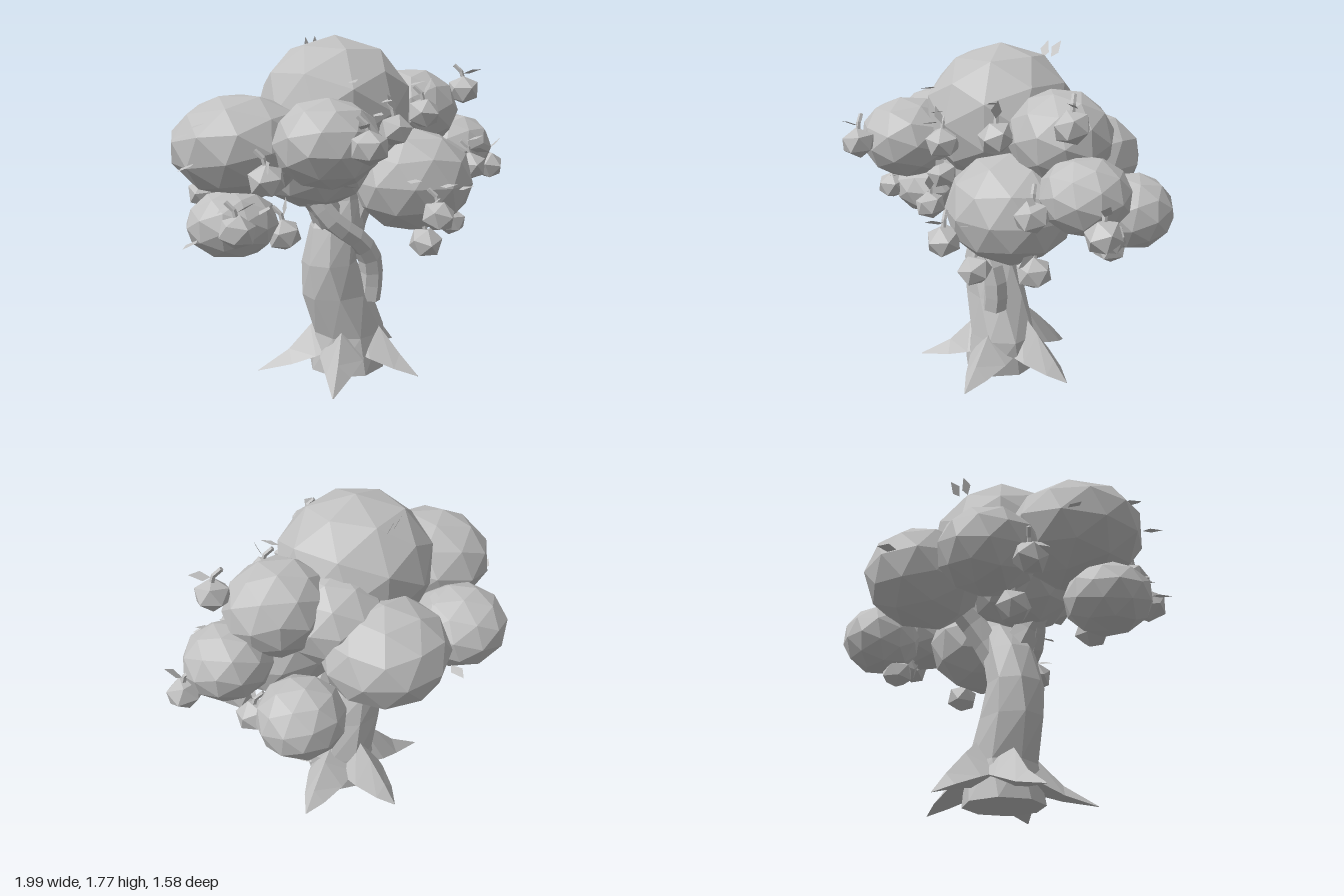
import * as THREE from 'three';

const clay = new THREE.MeshStandardMaterial({ color: 0xc0c0c0, flatShading: true });
clay.name = 'grey';
const clayLeaf = clay.clone();
clayLeaf.name = 'leafGrey';
clayLeaf.side = THREE.DoubleSide;

const V = (x, y, z) => new THREE.Vector3(x, y, z);

function add(parent, name, geometry, material = clay) {
  const mesh = new THREE.Mesh(geometry, material);
  mesh.name = name;
  parent.add(mesh);
  return mesh;
}

// Skin a closed surface over rings of points
function loft(rings) {
  const n = rings[0].length, last = (rings.length - 1) * n, index = [];
  for (let r = 0; r < rings.length - 1; r++) {
    for (let i = 0; i < n; i++) {
      const a = r * n + i, b = r * n + (i + 1) % n;
      index.push(a, a + n, b, b, a + n, b + n);
    }
  }
  for (let i = 1; i < n - 1; i++) index.push(0, i, i + 1, last, last + i + 1, last + i);
  const g = new THREE.BufferGeometry();
  g.setAttribute('position', new THREE.Float32BufferAttribute(rings.flat().flatMap(p => p.toArray()), 3));
  g.setIndex(index);
  const flat = g.toNonIndexed();
  flat.computeVertexNormals();
  return flat;
}

// Limb along a curve with linear taper
function limb(points, r0, r1, steps = 8, sides = 6) {
  const curve = new THREE.CatmullRomCurve3(points.map(p => V(...p)));
  const frames = curve.computeFrenetFrames(steps, false);
  const rings = [];
  for (let s = 0; s <= steps; s++) {
    const c = curve.getPointAt(s / steps), r = r0 + (r1 - r0) * s / steps, ring = [];
    for (let i = 0; i < sides; i++) {
      const a = -i / sides * Math.PI * 2;
      ring.push(c.clone()
        .addScaledVector(frames.normals[s], Math.cos(a) * r)
        .addScaledVector(frames.binormals[s], Math.sin(a) * r));
    }
    rings.push(ring);
  }
  return loft(rings);
}

export function createModel() {
  const tree = new THREE.Group();
  tree.name = 'tree';

  // Twisting eight-sided trunk: x, y, z, rx, rz
  const sections = [
    [-0.02, 0, 0.03, 0.21, 0.21], [0, 0.2, 0.03, 0.2, 0.18], [-0.08, 0.42, 0.03, 0.19, 0.16],
    [-0.125, 0.6, 0.03, 0.145, 0.15], [-0.075, 0.79, 0.025, 0.15, 0.13],
    [-0.04, 0.93, 0.01, 0.1, 0.1], [0, 1.15, 0, 0.07, 0.07],
  ];
  add(tree, 'trunk', loft(sections.map(([x, y, z, rx, rz], s) =>
    Array.from({ length: 8 }, (_, i) => {
      const a = i / 8 * Math.PI * 2 + s * 0.16;
      return V(x + Math.cos(a) * rx, y, z + Math.sin(a) * rz);
    }))));

  // Horn-like roots, given by their tips; profile: distance, top, bottom, half width
  const tips = [[0.22, 0.38], [-0.3, 0.4], [-0.49, -0.1], [-0.05, -0.41], [0.39, -0.15]];
  for (const [x, z] of tips) {
    const reach = Math.hypot(x, z);
    const profile = [[0.1, 0.33, 0.08, 0.135], [0.21, 0.23, 0.055, 0.115],
      [0.33, 0.105, 0.025, 0.065], [reach, 0.004, 0, 0.003]];
    const root = add(tree, 'root', loft(profile.map(([d, top, low, w]) => {
      const side = low + (top - low) * 0.2;
      return [V(d, side, w), V(d, top, 0), V(d, side, -w), V(d, low, 0)];
    })));
    root.rotation.y = -Math.atan2(z, x);
  }

  // Branches into the crown and the limb winding round the trunk
  add(tree, 'branch', limb([[-0.08, 0.72, 0.02], [-0.17, 0.9, 0.06], [-0.35, 1.08, 0.1]], 0.1, 0.06, 4));
  add(tree, 'branch', limb([[-0.02, 0.7, 0.02], [0.04, 0.88, 0.03], [0.2, 1.08, 0.08]], 0.09, 0.06, 4));
  add(tree, 'branch', limb([[-0.04, 0.75, 0], [0.02, 0.93, -0.1], [0.08, 1.15, -0.3]], 0.09, 0.06, 4));
  add(tree, 'windingLimb', limb([[-0.24, 0.96, 0.08], [-0.15, 0.83, 0.13], [-0.01, 0.72, 0.14],
    [0.065, 0.62, 0.13], [0.083, 0.5, 0.115], [0.065, 0.38, 0.115]], 0.055, 0.068, 9));

  // Faceted foliage clumps: centre, radii
  const clumps = [
    [-0.07, 1.405, 0, 0.405, 0.37, 0.4],
    [-0.6, 1.245, 0.03, 0.355, 0.255, 0.345],
    [-0.33, 1.28, 0.41, 0.26, 0.215, 0.26],
    [0.31, 1.02, 0.16, 0.335, 0.275, 0.315],
    [0.7, 1.16, -0.01, 0.22, 0.185, 0.215],
    [0.43, 1.37, -0.05, 0.27, 0.235, 0.25],
    [0.08, 1.165, -0.41, 0.325, 0.258, 0.325],
    [0.56, 0.99, -0.39, 0.215, 0.193, 0.215],
    [-0.45, 1.08, -0.39, 0.255, 0.208, 0.255],
    [-0.7, 0.89, 0.14, 0.225, 0.168, 0.215],
    [-0.2, 1.13, 0.02, 0.31, 0.23, 0.28],
    [0.2, 1.29, -0.18, 0.26, 0.24, 0.26],
  ];
  clumps.forEach(([x, y, z, rx, ry, rz], i) => {
    const g = new THREE.IcosahedronGeometry(1, 1);
    g.rotateX(i * 0.7).rotateY(i * 1.3 + 0.3).scale(rx, ry, rz).translate(x, y, z);
    g.computeVertexNormals();
    add(tree, 'foliage', g);
  });

  // Diamond leaf
  const leafShape = new THREE.Shape([
    new THREE.Vector2(0, 0), new THREE.Vector2(0.027, 0.035),
    new THREE.Vector2(0.005, 0.1), new THREE.Vector2(-0.027, 0.05)]);
  const leafGeometry = new THREE.ShapeGeometry(leafShape);
  function leaf(parent, x, y, z, rx, ry, rz) {
    const m = add(parent, 'leaf', leafGeometry, clayLeaf);
    m.position.set(x, y, z);
    m.rotation.set(rx, ry, rz);
  }

  // Slightly squashed fruits with bent stems and a leaf
  const fruitGeometry = new THREE.IcosahedronGeometry(0.092, 0).rotateX(-1.017).scale(1, 0.87, 1);
  const fruits = [
    [0.7, 1.48, 0.07], [0.32, 1.38, 0.24], [0.05, 1.32, 0.39], [-0.28, 1.29, 0.71],
    [-0.63, 1.13, 0.4], [-0.15, 1.11, 0.3], [-0.76, 0.9, 0.36], [-0.48, 0.83, 0.24],
    [0.28, 0.72, 0.34], [0.25, 0.89, 0.49], [0.56, 0.77, 0.17], [0.64, 1.08, 0.23],
    [0.92, 1.04, 0.04], [0.68, 0.92, -0.17], [0.52, 0.8, -0.3], [-0.68, 0.96, -0.33],
    [-0.46, 0.83, -0.25],
  ];
  fruits.forEach(([x, y, z], i) => {
    const fruit = new THREE.Group();
    fruit.name = 'fruit';
    fruit.position.set(x, y, z);
    const body = add(fruit, 'fruitBody', fruitGeometry);
    body.rotation.set(0.25, i * 1.7, 0.2);
    add(fruit, 'stem', limb([[0, 0.05, 0], [-0.01, 0.1, -0.01], [-0.04, 0.135, -0.035]], 0.013, 0.012, 2, 5));
    leaf(fruit, 0, 0.09, 0, 1.1, i * 1.1, -1);
    tree.add(fruit);
  });

  // Loose leaves sticking out of the foliage
  const leaves = [
    [-0.88, 1.33, 0.1], [-0.82, 1.38, 0.15], [-0.9, 0.85, 0.22], [-0.76, 1.01, 0.28],
    [-0.15, 1.56, 0.32], [-0.05, 1.4, 0.36], [0, 1.46, 0.34], [0.24, 1.52, 0.2],
    [0.1, 1.07, 0.43], [0.28, 1.03, 0.45], [0.4, 1.0, 0.42], [0.65, 1.21, 0.18],
    [-0.09, 1.16, -0.69], [-0.88, 1.22, -0.18], [-0.9, 1.2, 0.2], [0.7, 0.92, -0.1],
    [-0.35, 1.27, -0.3], [-0.6, 1.0, 0.35],
  ];
  leaves.forEach(([x, y, z]) => {
    const side = Math.sign(z);
    leaf(tree, x, y, z, Math.PI / 2 * side - 0.05, 0.3, -Math.atan2(x, Math.abs(z)) * side * 0.9);
  });
  leaf(tree, -0.08, 1.68, -0.26, -0.5, 0.5, 0.2);
  leaf(tree, -0.03, 1.69, -0.28, -0.5, 0.5, -0.1);

  return tree;
}
